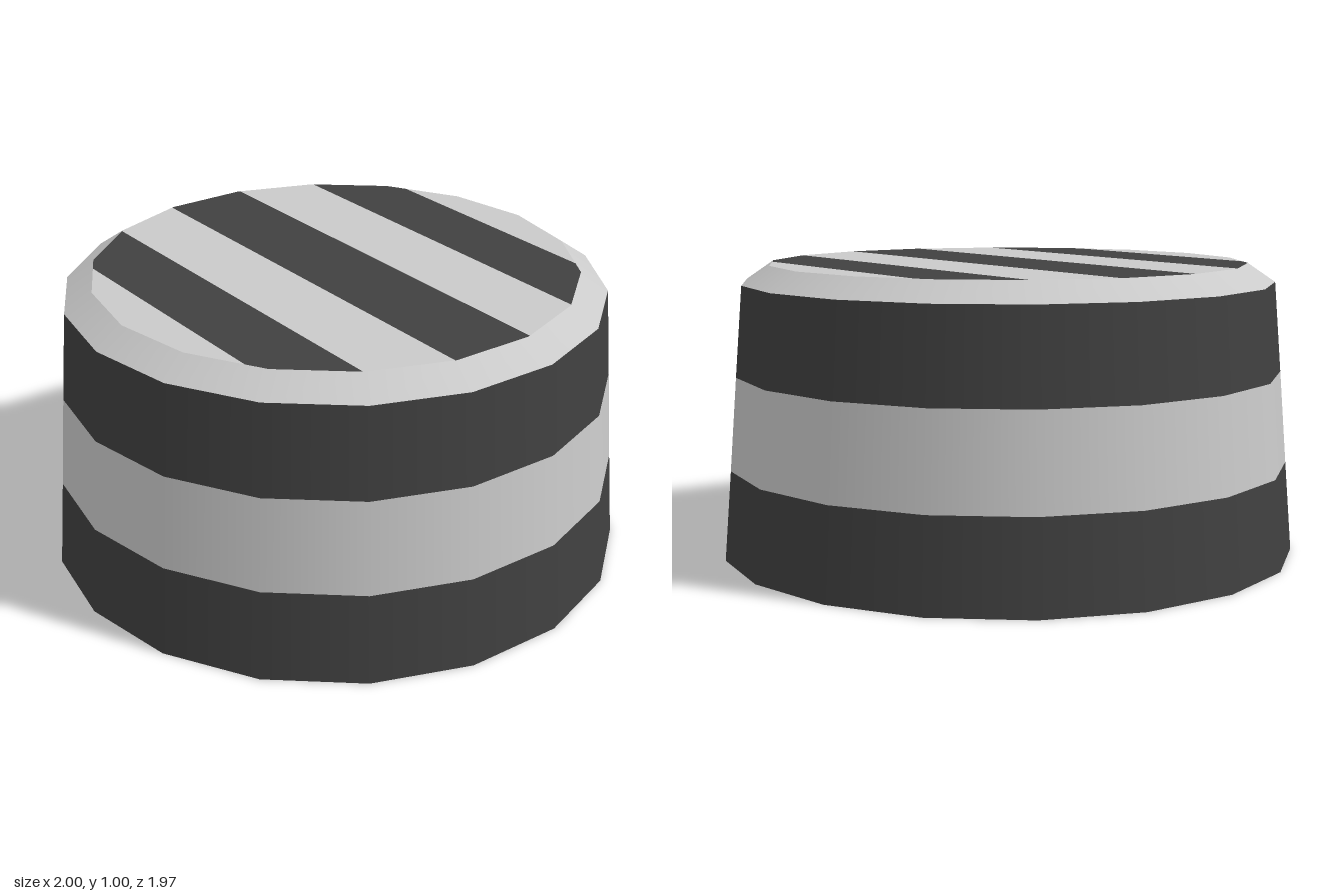
import * as THREE from 'three';
import { mergeGeometries } from 'three/addons/utils/BufferGeometryUtils.js';

const SIDES = 18;

const material = (name, color) => {
  const m = new THREE.MeshStandardMaterial({ color });
  m.name = name;
  return m;
};

// Regular outline with a corner on the x axis, as [x, z] points
const outline = (r) => Array.from({ length: SIDES }, (_, i) => {
  const a = (i / SIDES) * Math.PI * 2;
  return [r * Math.cos(a), r * Math.sin(a)];
});

// Keep the part of a convex polygon where nx * x + nz * z <= d
function clip(poly, nx, nz, d) {
  const out = [];
  poly.forEach((p, i) => {
    const q = poly[(i + 1) % poly.length];
    const a = nx * p[0] + nz * p[1] - d;
    const b = nx * q[0] + nz * q[1] - d;
    if (a <= 0) out.push(p);
    if (a * b < 0) {
      const t = a / (a - b);
      out.push([p[0] + t * (q[0] - p[0]), p[1] + t * (q[1] - p[1])]);
    }
  });
  return out;
}

// Flat horizontal face from a convex polygon, facing up or down
function flatFace(poly, y, up) {
  const pos = [];
  for (let i = 1; i < poly.length - 1; i++) {
    const tri = up ? [poly[0], poly[i + 1], poly[i]] : [poly[0], poly[i], poly[i + 1]];
    tri.forEach(([x, z]) => pos.push(x, y, z));
  }
  const g = new THREE.BufferGeometry();
  g.setAttribute('position', new THREE.Float32BufferAttribute(pos, 3));
  g.computeVertexNormals();
  return g;
}

export function createModel() {
  const group = new THREE.Group();
  const charcoal = material('charcoal', 0x404040);
  const lightGrey = material('lightGrey', 0xcacaca);
  const midGrey = material('midGrey', 0xa4a4a4);
  const darkGrey = material('darkGrey', 0x656060);
  const black = material('black', 0x242424);
  const red = material('red', 0xc05c5c);
  const blue = material('blue', 0x7b9cd6);
  const sand = material('sand', 0xcdb887);

  const add = (name, geometry, mat) => {
    const mesh = new THREE.Mesh(geometry, mat);
    mesh.name = name;
    group.add(mesh);
  };

  // Tapered side bands and the bevelled rim
  const rings = [[1, 0], [0.975, 0.31], [0.95, 0.63], [0.925, 0.94], [0.83, 1.005]];
  const names = ['lowerBand', 'middleBand', 'upperBand', 'bevelledRim'];
  names.forEach((name, i) => {
    const [r0, y0] = rings[i];
    const [r1, y1] = rings[i + 1];
    const g = new THREE.CylinderGeometry(r1, r0, y1 - y0, SIDES, 1, true, Math.PI / 2);
    g.translate(0, (y0 + y1) / 2, 0);
    add(name, g, i % 2 ? lightGrey : charcoal);
  });

  // Striped top
  const edges = [-1, -0.675, -0.42, -0.15, 0.15, 0.42, 0.675, 1];
  for (let i = 0; i < edges.length - 1; i++) {
    const strip = clip(clip(outline(0.83), -1, 0, -edges[i]), 1, 0, edges[i + 1]);
    add('topStripe', flatFace(strip, 1.005, true), i % 2 ? charcoal : lightGrey);
  }

  // Underside: slightly turned checker with a few coloured cells near the rim
  const cell = 0.24, turn = 0.085, ox = -0.424, oz = 0.365;
  const c = Math.cos(turn), s = Math.sin(turn);
  const cellMaterial = (i, j) => {
    if (j <= -6) return charcoal;
    if (j === 0 && (i === 0 || i === -2)) return red;
    if (j === 1 && i === 0) return sand;
    if (j === 2 && (i === 0 || i === 1)) return blue;
    if (i % 2 === 0) return j % 2 === 0 ? black : lightGrey;
    return j % 2 === 0 ? midGrey : darkGrey;
  };
  const cells = new Map();
  for (let i = -5; i <= 8; i++) {
    for (let j = -9; j <= 5; j++) {
      const u = c * ox + s * oz + i * cell;
      const v = -s * ox + c * oz + j * cell;
      let poly = outline(1);
      poly = clip(poly, c, s, u + cell / 2);
      poly = clip(poly, -c, -s, cell / 2 - u);
      poly = clip(poly, -s, c, v + cell / 2);
      poly = clip(poly, s, -c, cell / 2 - v);
      if (poly.length < 3) continue;
      const mat = cellMaterial(i, j);
      if (!cells.has(mat)) cells.set(mat, []);
      cells.get(mat).push(flatFace(poly, 0, false));
    }
  }
  cells.forEach((list, mat) => add('undersideCells', mergeGeometries(list), mat));

  return group;
}
